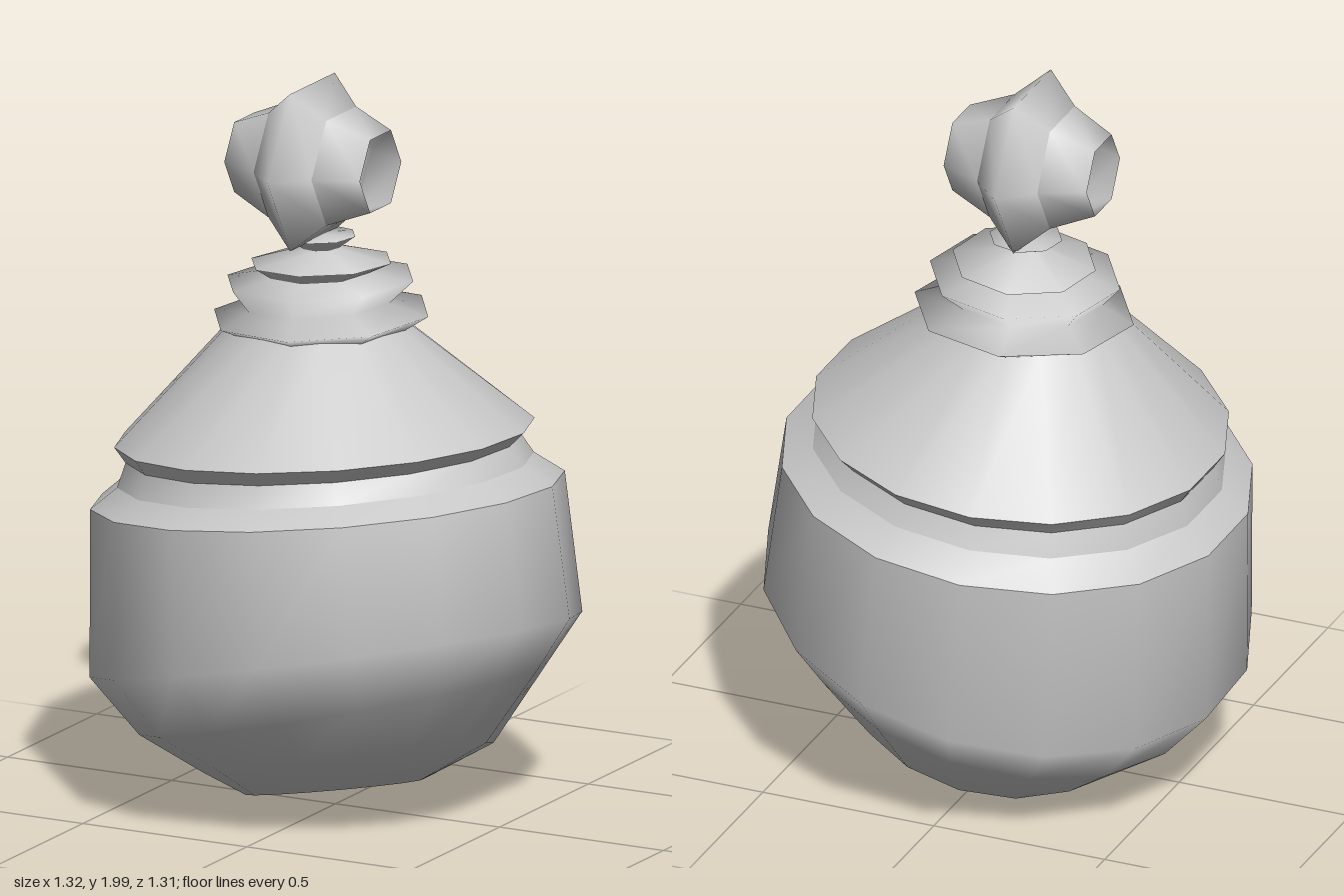
import * as THREE from 'three';

const grey = new THREE.MeshStandardMaterial({ color: 0xc8c8c8, side: THREE.DoubleSide });
grey.name = 'plain grey';

// Ring of points tilted by its slopes: centre, radius, rise per x, rise per z
function tilted([cx, cy, cz, r, sx = 0, sz = 0], sides, phase) {
  return Array.from({ length: sides }, (_, i) => {
    const a = phase + (i / sides) * Math.PI * 2;
    const dx = r * Math.cos(a), dz = r * Math.sin(a);
    return [cx + dx, cy + sx * dx + sz * dz, cz + dz];
  });
}

// Smooth skin over a stack of rings, ordered from bottom to top
function skin(name, rings) {
  const n = rings[0].length, index = [];
  for (let j = 0; j < rings.length - 1; j++) {
    for (let i = 0; i < n; i++) {
      const a = j * n + i, b = j * n + (i + 1) % n;
      index.push(a, a + n, b, b, a + n, b + n);
    }
  }
  const g = new THREE.BufferGeometry();
  g.setAttribute('position', new THREE.Float32BufferAttribute(rings.flat(2), 3));
  g.setIndex(index);
  g.computeVertexNormals();
  const mesh = new THREE.Mesh(g, grey);
  mesh.name = name;
  return mesh;
}

// Separate skin for every pair of rings, keeping the edges between them sharp
function bands(name, rings) {
  const group = new THREE.Group();
  group.name = name;
  for (let j = 0; j < rings.length - 1; j++) {
    group.add(skin(name + 'Band' + (j + 1), [rings[j], rings[j + 1]]));
  }
  return group;
}

export function createModel() {
  const model = new THREE.Group();
  const body = (s) => tilted(s, 16, Math.PI / 16 + 0.03);
  const neck = (s) => tilted(s, 8, -0.18);

  // Leaning round pot
  const rim = [-0.033, 0.87, -0.015, 0.638, 0.114, 0.055];
  model.add(skin('pot', [
    [0.02, 0.063, 0.04, 0.001],
    [0.02, 0.065, 0.04, 0.24, 0.19, 0.16],
    [0.05, 0.145, 0.02, 0.39, 0.23, 0.2],
    [0.02, 0.3, -0.01, 0.55, 0.25, 0.08],
    [0.003, 0.45, 0.003, 0.662, 0.216, 0.115],
    rim,
  ].map(body)));

  // Shoulder, groove and underside of the lid
  const lip = [-0.045, 1.027, -0.02, 0.565, 0.092, 0.04];
  model.add(bands('shoulder', [
    rim,
    [-0.04, 0.925, -0.017, 0.56, 0.11, 0.04],
    [-0.05, 0.985, -0.02, 0.53, 0.1, 0.04],
    lip,
  ].map(body)));

  // Conical lid
  model.add(skin('lid', [lip, [-0.065, 1.335, -0.01, 0.235, 0.02, 0]].map(body)));

  // Zigzag collar of flared rings
  model.add(skin('collar', [
    [-0.06, 1.32, -0.02, 0.235, 0.02, 0],
    [-0.06, 1.355, -0.03, 0.302, 0.045, -0.02],
    [-0.065, 1.392, -0.015, 0.205, 0.05, -0.01],
    [-0.06, 1.453, -0.025, 0.262, 0.05, 0],
    [-0.06, 1.475, -0.01, 0.14, 0.04, 0],
    [-0.06, 1.5, -0.03, 0.197, 0.05, 0.03],
    [-0.055, 1.542, -0.02, 0.05, 0.03, 0],
    [-0.065, 1.573, -0.03, 0.1, 0.02, 0],
    [-0.065, 1.575, -0.03, 0.001],
  ].map(neck)));

  // Hollow six-sided bead lying across the top
  const hex = ([x, r]) => Array.from({ length: 6 }, (_, i) => {
    const a = (i / 6) * Math.PI * 2;
    return [x, 1.782 + r * Math.sin(a), 0.005 + r * Math.cos(a)];
  }).reverse();
  const mid = -0.068;
  const bead = new THREE.Group();
  bead.name = 'bead';
  bead.add(
    skin('beadRidge', [[mid + 0.088, 0.168], [mid, 0.252], [mid - 0.088, 0.168]].map(hex)),
    skin('beadLeftEnd', [[mid + 0.208, 0.117], [mid + 0.088, 0.168]].map(hex)),
    skin('beadRightEnd', [[mid - 0.088, 0.168], [mid - 0.208, 0.112]].map(hex)),
  );
  model.add(bead);
  return model;
}
